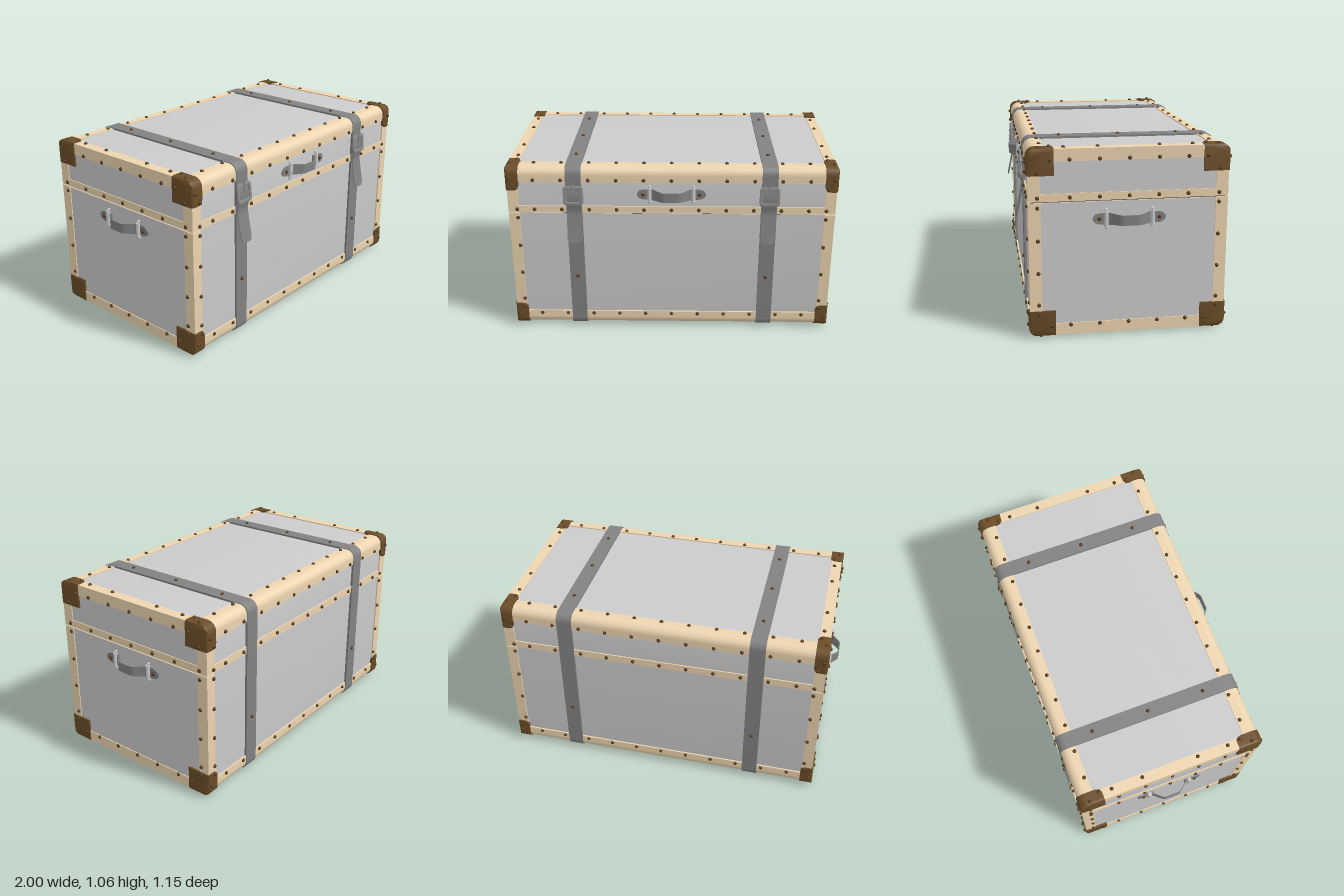
import * as THREE from 'three';
import { mergeGeometries, toCreasedNormals } from 'three/addons/utils/BufferGeometryUtils.js';

const mat = (color) => new THREE.MeshStandardMaterial({ color });
const GREY = mat(0xcccccc), TRIM = mat(0xedd5b0), BROWN = mat(0x6b4d28);
const LEATHER = mat(0x828282), RIVET = mat(0x553a1c), DARK = mat(0x333333), BUCKLE = mat(0x8c8c8c);

function add(parent, name, geometry, material, x = 0, y = 0, z = 0) {
  const mesh = new THREE.Mesh(geometry, material);
  mesh.name = name;
  mesh.position.set(x, y, z);
  parent.add(mesh);
  return mesh;
}

// Cross-section of the trunk from y0 to y1, with rounding on top and/or bottom
function section(half, y0, y1, rTop, rBottom) {
  const s = new THREE.Shape();
  s.moveTo(-half, y0 + rBottom);
  if (rBottom) s.absarc(-half + rBottom, y0 + rBottom, rBottom, Math.PI, Math.PI * 1.5);
  if (rBottom) s.absarc(half - rBottom, y0 + rBottom, rBottom, -Math.PI / 2, 0);
  else s.lineTo(half, y0);
  if (rTop) {
    s.absarc(half - rTop, y1 - rTop, rTop, 0, Math.PI / 2);
    s.absarc(-half + rTop, y1 - rTop, rTop, Math.PI / 2, Math.PI);
  } else s.lineTo(half, y1).lineTo(-half, y1);
  return s;
}

function rectHole(s, half, y0, y1) {
  s.holes.push(new THREE.Path().moveTo(-half, y0).lineTo(-half, y1).lineTo(half, y1).lineTo(half, y0));
  return s;
}

// Extrude a cross-section along x from x0 to x1
function alongX(shape, x0, x1, steps = 1) {
  return new THREE.ExtrudeGeometry(shape, { depth: x1 - x0, steps, bevelEnabled: false, curveSegments: 8 })
    .rotateY(Math.PI / 2).translate(x0, 0, 0);
}
const smooth = (g) => toCreasedNormals(g, 0.6);

// Block hugging one long edge, outer corner rounded, arms of equal length
function edgeShape(arm, r) {
  const s = new THREE.Shape();
  s.moveTo(0, -arm).lineTo(arm, -arm).lineTo(arm, 0).lineTo(r, 0);
  s.absarc(r, -r, r, Math.PI / 2, Math.PI);
  return s;
}

// Corner cap: plates rounded on their inner corners, softened at the end face
function cornerGeometry(arm, len) {
  const g = alongX(edgeShape(arm, 0.05), 0, len, 12);
  const p = g.attributes.position, r = 0.03, e = 0.015;
  for (let i = 0; i < p.count; i++) {
    const d = p.getX(i);
    const reach = d < r ? arm - r + Math.sqrt(Math.max(0, r * r - (r - d) ** 2)) : arm;
    const k = Math.max(0, d - len + e);
    const inset = e - Math.sqrt(Math.max(0, e * e - k * k));
    const fit = (u) => Math.max(Math.min(u, reach), inset);
    p.setY(i, -fit(-p.getY(i)));
    p.setZ(i, -fit(-p.getZ(i)));
  }
  return smooth(g);
}

// Handle facing +z, lying on z = 0
function makeHandle(name) {
  const g = new THREE.Group();
  g.name = name;
  const base = new THREE.Shape();
  for (const s of [-1, 1]) {
    const tip = new THREE.Shape();
    tip.moveTo(s * 0.1, -0.03).lineTo(s * 0.15, -0.03);
    tip.bezierCurveTo(s * 0.18, -0.03, s * 0.195, -0.018, s * 0.197, 0);
    tip.bezierCurveTo(s * 0.195, 0.018, s * 0.18, 0.03, s * 0.15, 0.03);
    tip.lineTo(s * 0.1, 0.03);
    add(g, 'handleTab', new THREE.ExtrudeGeometry(tip, { depth: 0.009, bevelEnabled: false }), LEATHER);
    add(g, 'handleBracket', new THREE.CylinderGeometry(0.012, 0.012, 0.085, 12), GREY, s * 0.125, 0, 0.012);
    for (const t of [-1, 1])
      add(g, 'bracketEnd', new THREE.SphereGeometry(0.009, 12, 8), GREY, s * 0.125, t * 0.049, 0.006);
    add(g, 'handleRivet', new THREE.SphereGeometry(0.011, 10, 8), RIVET, s * 0.162, 0, 0.009);
  }
  const grip = new THREE.BoxGeometry(0.26, 0.06, 0.006, 32, 1, 1), p = grip.attributes.position;
  for (let i = 0; i < p.count; i++) {
    const a = THREE.MathUtils.smoothstep(0.122 - Math.abs(p.getX(i)), 0, 0.085);
    p.setY(i, p.getY(i) * (1.08 - 0.16 * a));
    p.setZ(i, p.getZ(i) + 0.008 + 0.052 * a);
  }
  add(g, 'handleGrip', smooth(grip.toNonIndexed()), LEATHER);
  return g;
}

// Loose end of a strap: hangs from the buckle and swings outward
function tailGeometry() {
  const top = 0.92, bottom = 0.59, w = 0.086, r = 0.025;
  const g = new THREE.BoxGeometry(w, top - bottom, 0.005, 12, 20, 1).translate(0, (top + bottom) / 2, 0);
  const p = g.attributes.position;
  for (let i = 0; i < p.count; i++) {
    const k = Math.max(0, Math.abs(p.getX(i)) - w / 2 + r);
    const y = Math.max(p.getY(i), bottom + r - Math.sqrt(Math.max(0, r * r - k * k)));
    const out = y < 0.78 ? 0.036 * ((0.78 - y) / 0.19) ** 1.2 : 0.012 * Math.sin(Math.PI * (y - 0.78) / 0.14);
    p.setY(i, y);
    p.setZ(i, p.getZ(i) + 0.546 + out);
  }
  return smooth(g.toNonIndexed());
}

function buckleGeometry() {
  const w = 0.055, r = 0.018, s = section(w, -0.054, 0.054, r, r);
  s.holes.push(section(0.042, -0.04, 0.04, 0.01, 0.01));
  return smooth(new THREE.ExtrudeGeometry(s, { depth: 0.006, bevelSize: 0.003, bevelThickness: 0.003, bevelSegments: 2 }));
}

export function createModel() {
  const model = new THREE.Group();
  model.name = 'trunk';
  const trunk = new THREE.Group();
  trunk.position.z = -0.0185;
  model.add(trunk);
  const MID = 0.529;

  // Base and lid with a dark seam between them
  add(trunk, 'base', smooth(alongX(section(0.53, 0.021, 0.757, 0, 0.045), -0.937, 0.937)), GREY);
  add(trunk, 'lid', smooth(alongX(section(0.53, 0.762, 1.036, 0.045, 0), -0.937, 0.937)), GREY);
  add(trunk, 'seam', new THREE.BoxGeometry(1.868, 0.02, 1.054), DARK, 0, 0.76, 0);
  add(trunk, 'bottomPanel', new THREE.BoxGeometry(1.87, 0.012, 0.97), GREY, 0, 0.019, 0);
  add(trunk, 'lidBand', new THREE.BoxGeometry(1.882, 0.043, 1.074), TRIM, 0, 0.7835, 0);

  // Trim frames around both ends
  for (const s of [-1, 1]) {
    const [x0, x1] = s > 0 ? [0.88, 0.942] : [-0.942, -0.88];
    add(trunk, 'lidEndFrame', smooth(alongX(rectHole(section(0.538, 0.762, 1.042, 0.05, 0), 0.472, 0.805, 0.975), x0, x1)), TRIM);
    add(trunk, 'baseEndFrame', smooth(alongX(rectHole(section(0.538, 0.015, 0.757, 0, 0.05), 0.472, 0.08, 0.7555), x0, x1)), TRIM);
  }

  // Rounded trim on the long edges, and the eight corner caps
  const long = smooth(alongX(edgeShape(0.09, 0.05), -0.9405, 0.9405));
  const cap = cornerGeometry(0.145, 0.075);
  for (const sy of [-1, 1]) for (const sz of [-1, 1]) {
    add(trunk, 'edgeTrim', long, TRIM, 0, MID + sy * 0.5135, sz * 0.5385).scale.set(1, sy, sz);
    for (const sx of [-1, 1])
      add(trunk, 'cornerCap', cap, BROWN, sx * 0.873, MID + sy * 0.518, sz * 0.545).scale.set(sx, sy, sz);
  }

  // Straps with buckles and hanging tails
  for (const s of [-1, 1]) {
    const x = s * 0.56;
    add(trunk, 'strap', smooth(alongX(section(0.543, 0.009, 1.047, 0.052, 0.052), x - 0.045, x + 0.045)), LEATHER);
    add(trunk, 'strapTail', tailGeometry(), LEATHER, x);
    add(trunk, 'buckleFrame', buckleGeometry(), BUCKLE, x, 0.877, 0.555).rotation.x = -0.1;
    add(trunk, 'buckleProng', new THREE.CylinderGeometry(0.005, 0.005, 0.065, 8), BUCKLE, x, 0.915, 0.561).rotation.x = -0.1;
    add(trunk, 'buckleLoop', new THREE.BoxGeometry(0.094, 0.02, 0.026), LEATHER, x, 0.83, 0.552);
  }

  // Handles on the front and both ends
  const front = makeHandle('frontHandle');
  front.position.set(0, 0.88, 0.53);
  trunk.add(front);
  for (const s of [-1, 1]) {
    const h = makeHandle(s > 0 ? 'leftHandle' : 'rightHandle');
    h.position.set(s * 0.937, 0.66, 0);
    h.rotation.y = s * Math.PI / 2;
    trunk.add(h);
  }

  // Rivets, mirrored in x and z
  const spots = new Map();
  const rivet = (x, y, z) => {
    for (const sx of [-1, 1]) for (const sz of [-1, 1])
      spots.set([x * sx + 0, y, z * sz + 0].join(), [x * sx, y, z * sz]);
  };
  const columns = [0.19, 0.37, 0.55, 0.73];
  for (const z of [0, 0.159, 0.318]) for (const y of [0.07, 0.783, 0.985]) rivet(0.942, y, z);
  for (const y of [...columns, 0.783]) { rivet(0.942, y, 0.489); rivet(0.89, y, 0.538); }
  for (const y of [0.07, 0.985]) rivet(0.947, y, 0.422);
  for (const y of [0.14, 0.917]) rivet(0.947, y, 0.489);
  for (let i = 0; i < 6; i++) {
    const x = i * 0.158;
    for (const y of [0.09, 0.783, 0.965]) rivet(x, y, 0.538);
    for (const y of [0.014, 1.042]) rivet(x, y, 0.465);
  }
  for (const y of [0.08, 0.14, 0.917, 0.975]) rivet(y > 0.1 && y < 0.95 ? 0.893 : 0.925, y, 0.545);
  for (const y of [0.012, 1.046]) {
    rivet(0.893, y, 0.42);
    rivet(0.925, y, 0.48);
    for (const z of [0, 0.335]) rivet(0.56, y, z);
  }
  for (const z of [0.165, 0.345]) rivet(0.9, 1.042, z);
  rivet(0.56, 0.35, 0.543);
  const ball = new THREE.SphereGeometry(0.011, 10, 8);
  add(trunk, 'rivets', mergeGeometries([...spots.values()].map((p) => ball.clone().translate(...p))), RIVET);

  return model;
}
